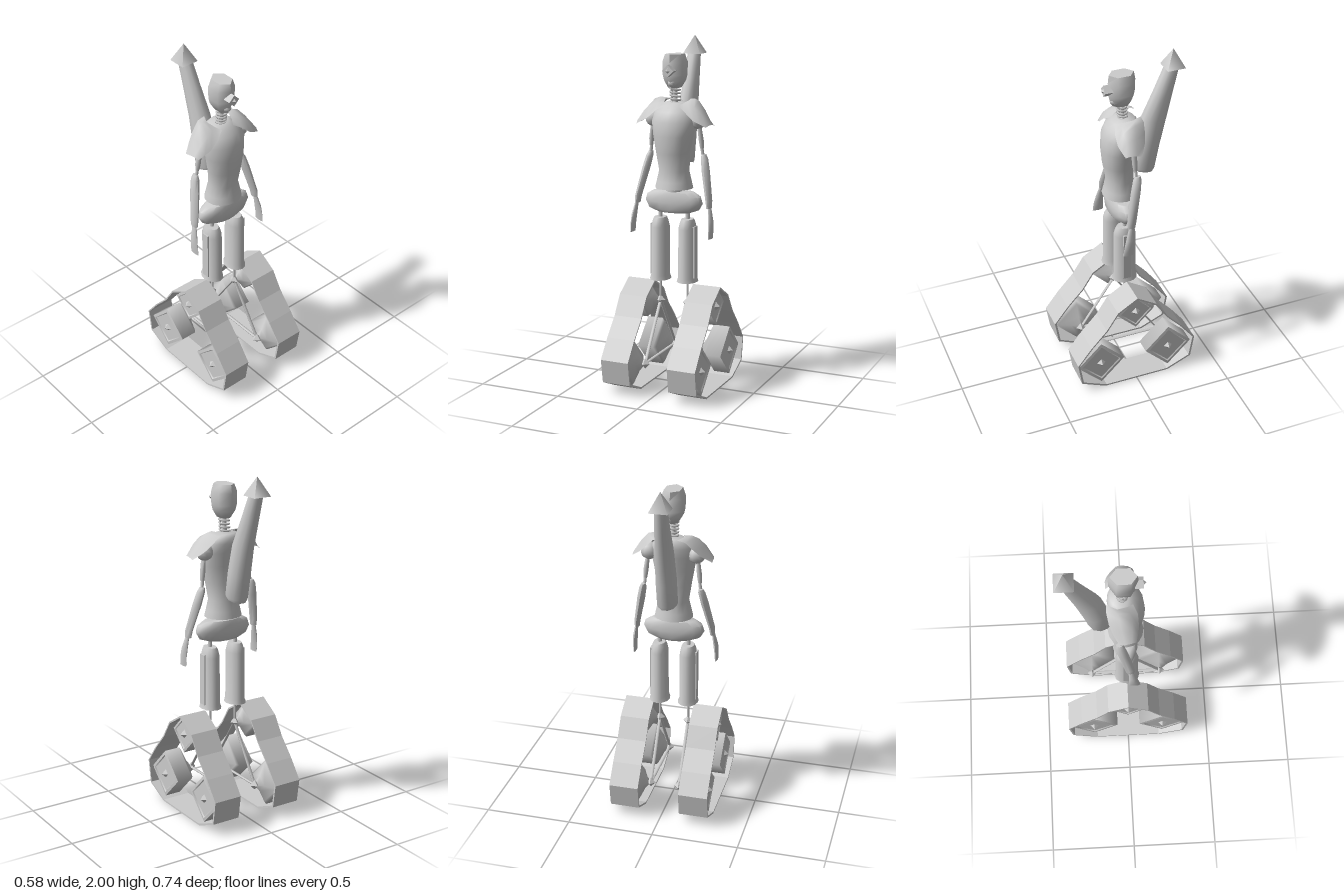
import * as THREE from 'three';
import { toCreasedNormals } from 'three/addons/utils/BufferGeometryUtils.js';

const V = (x, y, z) => new THREE.Vector3(x, y, z);

// Skin through elliptical sections [x, y, z, rx, rz, tilt], listed bottom to top
function loft(sections, sides = 8, turn = 0, crease = 0.95) {
  const pos = [], idx = [];
  for (const [x, y, z, rx, rz, tilt = 0] of sections)
    for (let j = 0; j < sides; j++) {
      const a = (j / sides) * Math.PI * 2 + turn;
      pos.push(x + Math.cos(a) * rx, y + Math.sin(a) * tilt, z + Math.sin(a) * rz);
    }
  for (let i = 0; i < sections.length - 1; i++)
    for (let j = 0; j < sides; j++) {
      const a = i * sides + j, b = i * sides + (j + 1) % sides;
      idx.push(a, a + sides, b, b, a + sides, b + sides);
    }
  const top = (sections.length - 1) * sides;
  for (let j = 1; j < sides - 1; j++) {
    idx.push(0, j, j + 1);
    idx.push(top, top + j + 1, top + j);
  }
  const g = new THREE.BufferGeometry();
  g.setAttribute('position', new THREE.Float32BufferAttribute(pos, 3));
  g.setIndex(idx);
  return toCreasedNormals(g, crease);
}

// Open smooth sheet through rows of [x, y, z] points, mirrored when s is -1
function sheet(rows, s) {
  const n = rows[0].length, idx = [];
  const pos = rows.flat().map(([x, y, z]) => [x * s, y, z]).flat();
  for (let i = 0; i < rows.length - 1; i++)
    for (let j = 0; j < n - 1; j++) {
      const a = i * n + j, b = a + 1, c = a + n, d = c + 1;
      if (s > 0) idx.push(a, c, b, b, c, d);
      else idx.push(a, b, c, b, d, c);
    }
  const g = new THREE.BufferGeometry();
  g.setAttribute('position', new THREE.Float32BufferAttribute(pos, 3));
  g.setIndex(idx);
  g.computeVertexNormals();
  return g;
}

export function createModel() {
  const root = new THREE.Group();
  const grey = new THREE.MeshStandardMaterial({ color: 0xcccccc });
  const thin = new THREE.MeshStandardMaterial({ color: 0xcccccc, side: THREE.DoubleSide });

  const add = (name, geo, p = V(0, 0, 0), mat = grey) => {
    const m = new THREE.Mesh(geo, mat);
    m.name = name;
    m.position.copy(p);
    root.add(m);
    return m;
  };
  const rod = (name, a, b, r, sides = 6) => {
    const m = add(name, new THREE.CylinderGeometry(r, r, a.distanceTo(b), sides), a.clone().lerp(b, 0.5));
    m.quaternion.setFromUnitVectors(V(0, 1, 0), b.clone().sub(a).normalize());
    return m;
  };

  // Track outline as [z, y], counter-clockwise from the top so both walls face outward
  const half = [[0.12, 0.53], [0.19, 0.42], [0.285, 0.315], [0.369, 0.205], [0.347, 0.065], [0.2, 0]];
  const outline = [[0, 0.605], ...half.map(([z, y]) => [-z, y]), ...half.slice().reverse()];
  const band = new THREE.Shape(outline.map(([z, y]) => new THREE.Vector2(z, y)));
  band.holes.push(new THREE.Path(outline.map(([z, y]) => new THREE.Vector2(z * 0.97, 0.27 + (y - 0.27) * 0.965))));
  const bandGeo = new THREE.ExtrudeGeometry(band, { depth: 0.17, bevelEnabled: false });
  bandGeo.translate(0, 0, -0.085).rotateY(-Math.PI / 2);

  // Four-sided wheel: [radius, distance outward from the body]; doubled points keep an edge sharp
  const wheelProfile = [[0, 0.095], [0.018, 0.096], [0.05, 0.12], [0.125, 0.155], [0.144, 0.168], [0.144, 0.265],
    [0.144, 0.265], [0.12, 0.268], [0.12, 0.268], [0.113, 0.262], [0.113, 0.262], [0, 0.262]]
    .map(([r, y]) => new THREE.Vector2(r, y));
  const wheelGeo = new THREE.LatheGeometry(wheelProfile, 4);

  for (const s of [1, -1]) {
    const side = s > 0 ? 'left' : 'right';
    const X = 0.085 * s;

    // Track, wheels and their triangular frame of flat rods
    add(side + 'Track', bandGeo, V(0.205 * s, 0, 0));
    const hubs = [[0.49, 0, 0.79], [0.165, 0.215, 1], [0.165, -0.21, 1]];
    hubs.forEach(([y, z, k], i) => {
      const w = add(side + 'Wheel', wheelGeo, V(0, y, z));
      w.rotation.z = -s * Math.PI / 2;
      w.scale.set(k, 1, k);
      add(side + 'AxleCap', new THREE.OctahedronGeometry(0.026), V(0.262 * s, y, z));
      add(side + 'AxleJoint', new THREE.OctahedronGeometry(0.03), V(X, y, z));
      const [y2, z2] = hubs[(i + 1) % 3];
      rod(side + 'FrameRod', V(X, y, z), V(X, y2, z2), 0.01).scale.z = 0.5;
    });
    rod(side + 'LegRod', V(X, 0.49, 0), V(X, 0.64, 0), 0.007);

    // Thigh casing with a narrow side panel, and the hip rod above it
    add(side + 'Thigh', loft([[X, 0.62, 0, 0.06, 0.075], [X, 0.645, 0, 0.051, 0.068], [X, 0.93, 0, 0.05, 0.066],
      [X, 0.965, 0, 0.042, 0.056], [X, 0.985, 0, 0.034, 0.046]], 12));
    add(side + 'ThighPanel', new THREE.BoxGeometry(0.012, 0.3, 0.047), V(X + 0.047 * s, 0.795, 0.002));
    rod(side + 'HipRod', V(X, 0.97, 0), V(X, 1.06, 0), 0.012);

    // Shoulder cape, open at the chest and neck, and the shoulder ball
    add(side + 'ShoulderCape', sheet([
      [[0.04, 1.632, 0.035], [0.06, 1.645, 0], [0.075, 1.658, -0.05], [0.045, 1.655, -0.108]],
      [[0.085, 1.605, 0.058], [0.095, 1.642, 0.02], [0.105, 1.668, -0.05], [0.09, 1.645, -0.108]],
      [[0.14, 1.557, 0.062], [0.135, 1.625, 0.028], [0.135, 1.658, -0.04], [0.135, 1.6, -0.098]],
      [[0.175, 1.54, 0.055], [0.178, 1.59, 0.025], [0.18, 1.605, -0.03], [0.175, 1.56, -0.08]],
      [[0.212, 1.52, 0.045], [0.222, 1.53, 0.02], [0.229, 1.53, -0.015], [0.227, 1.52, -0.045]],
    ], s), undefined, thin);
    add(side + 'ShoulderBall', new THREE.SphereGeometry(0.05, 10, 8), V(0.135 * s, 1.55, -0.025));

    // Arm: upper rod, collar, forearm shell and blade-like hand
    rod(side + 'UpperArm', V(0.14 * s, 1.53, -0.025), V(0.165 * s, 1.32, -0.04), 0.009);
    add(side + 'ArmCollar', loft([[0.157 * s, 1.39, -0.034, 0.011, 0.012], [0.154 * s, 1.43, -0.032, 0.015, 0.016],
      [0.144 * s, 1.51, -0.027, 0.012, 0.015]], 8));
    add(side + 'Forearm', loft([[0.222 * s, 1.06, 0.014, 0.014, 0.024], [0.219 * s, 1.1, 0.01, 0.018, 0.028],
      [0.185 * s, 1.26, -0.025, 0.023, 0.03], [0.17 * s, 1.33, -0.04, 0.021, 0.026],
      [0.164 * s, 1.355, -0.044, 0.013, 0.018]], 8));
    add(side + 'Hand', loft([[0.242 * s, 0.892, 0.038, 0.007, 0.032], [0.242 * s, 0.94, 0.034, 0.011, 0.03],
      [0.238 * s, 0.99, 0.028, 0.014, 0.024], [0.225 * s, 1.07, 0.016, 0.009, 0.013]], 8));
  }

  // Pelvis and waist
  add('pelvis', loft([[0, 1.022, 0, 0.105, 0.055], [0, 1.04, 0, 0.155, 0.065], [0, 1.08, 0, 0.178, 0.067],
    [0, 1.115, 0, 0.167, 0.066], [0, 1.14, 0, 0.125, 0.058]], 16));
  rod('waist', V(0, 1.12, 0), V(0, 1.2, 0), 0.045, 10);

  // Torso
  add('torso', loft([[0, 1.16, -0.003, 0.11, 0.1], [0, 1.2, -0.003, 0.101, 0.09], [0, 1.26, -0.003, 0.087, 0.078],
    [0, 1.36, 0.008, 0.1, 0.085], [0, 1.46, 0.01, 0.117, 0.092], [0, 1.54, 0, 0.13, 0.096],
    [0, 1.595, -0.015, 0.118, 0.088], [0, 1.628, -0.03, 0.09, 0.07], [0, 1.646, -0.035, 0.06, 0.05]], 16));

  // Spring neck around a rod
  const coil = [];
  for (let i = 0; i <= 60; i++) {
    const t = i / 60, a = t * Math.PI * 10;
    coil.push(V(Math.cos(a) * 0.028, 1.64 + t * 0.095, -0.022 + t * 0.01 + Math.sin(a) * 0.026));
  }
  add('neckSpring', new THREE.TubeGeometry(new THREE.CatmullRomCurve3(coil), 120, 0.006, 5));
  rod('neckRod', V(0, 1.62, -0.022), V(0, 1.76, -0.012), 0.013);

  // Six-sided head, mouth and single eye
  add('head', loft([[0, 1.728, -0.012, 0.034, 0.052], [0, 1.768, -0.015, 0.06, 0.07], [0, 1.8, -0.015, 0.068, 0.077],
    [0, 1.87, -0.015, 0.07, 0.079], [0, 1.916, -0.013, 0.052, 0.072]], 6, Math.PI / 2, 1.2));
  add('mouth', new THREE.SphereGeometry(0.024, 8, 6), V(0, 1.757, 0.03));
  const socket = new THREE.CylinderGeometry(0.034, 0.034, 0.045, 4).rotateX(Math.PI / 2);
  add('eyeSocket', toCreasedNormals(socket, 0.9), V(0, 1.828, 0.067));
  add('eyeLens', new THREE.OctahedronGeometry(0.018), V(0, 1.828, 0.086));

  // Back canister with a four-sided spike
  add('backCanister', loft([[0, 1.288, -0.14, 0.054, 0.064, 0.014], [0, 1.304, -0.142, 0.06, 0.068, 0.014],
    [0, 1.44, -0.167, 0.06, 0.07, 0.012], [0, 1.6, -0.203, 0.053, 0.072, 0.012],
    [-0.005, 1.76, -0.261, 0.044, 0.055, 0.008], [-0.01, 1.91, -0.313, 0.037, 0.042]], 10));
  const spike = new THREE.ConeGeometry(0.075, 0.105, 4, 1).rotateY(Math.PI / 4);
  add('canisterSpike', spike, V(-0.01, 1.9475, -0.318));

  return root;
}
